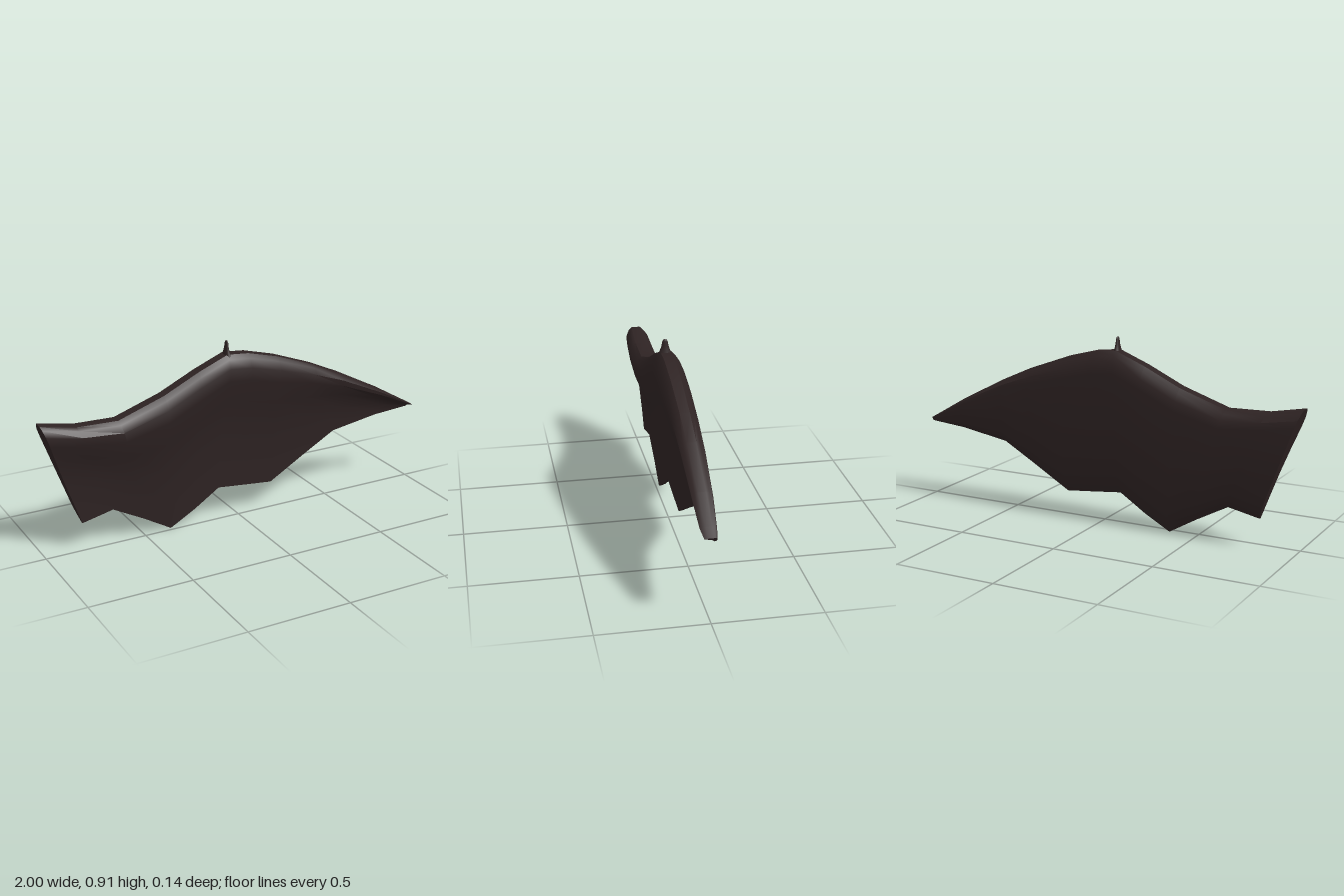
import * as THREE from 'three';
import { toCreasedNormals } from 'three/addons/utils/BufferGeometryUtils.js';

// Ribs from root to tip: top x, top y, bottom x, bottom y, front depth, back depth
const RIBS = [
  [-1, 0.66, -0.81, 0.135, 0.052, 0.068],
  [-0.83, 0.627, -0.655, 0.168, 0.063, 0.074],
  [-0.63, 0.622, -0.5, 0.085, 0.068, 0.074],
  [-0.4, 0.7, -0.36, 0.003, 0.066, 0.074],
  [-0.22, 0.785, -0.23, 0.075, 0.065, 0.074],
  [-0.07, 0.845, -0.1, 0.16, 0.063, 0.074],
  [0.04, 0.835, 0.04, 0.145, 0.061, 0.074],
  [0.2, 0.793, 0.19, 0.13, 0.059, 0.074],
  [0.4, 0.72, 0.38, 0.24, 0.056, 0.068],
  [0.56, 0.648, 0.55, 0.335, 0.054, 0.061],
  [0.8, 0.525, 0.8, 0.375, 0.05, 0.045],
  [0.95, 0.438, 0.95, 0.386, 0.044, 0.03],
  [1, 0.41, 0.99, 0.39, 0.034, 0.022],
];

// Rib outline: fraction down the rib, share of the depth (front, then back)
const FRONT = [[0, 0.4], [0.03, 0.72], [0.09, 1], [0.18, 0.95], [0.35, 0.42], [0.58, -0.03], [0.82, -0.18], [1, -0.25]];
const BACK = [[0, -0.35], [0.03, -0.62], [0.08, -0.92], [0.15, -1], [0.5, -1], [0.82, -0.97], [0.92, -0.8], [1, -0.4]];

function wingGeometry() {
  const outline = [...FRONT, ...BACK.slice().reverse()];
  const n = outline.length;
  const positions = [];
  const index = [];
  for (const [tx, ty, bx, by, front, back] of RIBS) {
    outline.forEach(([t, s], j) => {
      positions.push(tx + (bx - tx) * t, ty + (by - ty) * t, s * (j < FRONT.length ? front : back));
    });
  }
  // Skin between neighbouring ribs
  for (let i = 0; i < RIBS.length - 1; i++) {
    for (let j = 0; j < n; j++) {
      const k = (j + 1) % n;
      const a = i * n + j, d = i * n + k, b = a + n, c = d + n;
      index.push(a, d, c, a, c, b);
    }
  }
  // Closed root and tip
  const last = (RIBS.length - 1) * n;
  for (let j = 0; j < n / 2 - 1; j++) {
    const a = j, b = j + 1, c = n - 2 - j, d = n - 1 - j;
    index.push(a, c, b, a, d, c);
    index.push(last + a, last + b, last + c, last + a, last + c, last + d);
  }
  const geometry = new THREE.BufferGeometry();
  geometry.setAttribute('position', new THREE.Float32BufferAttribute(positions, 3));
  geometry.setIndex(index);
  return toCreasedNormals(geometry, 0.6);
}

export function createModel() {
  const group = new THREE.Group();
  group.name = 'batWing';
  const hide = new THREE.MeshStandardMaterial({ color: 0x2e2323 });
  hide.name = 'dark brown hide';

  const wing = new THREE.Mesh(wingGeometry(), hide);
  wing.name = 'wingMembrane';
  group.add(wing);

  // Small claw on the wing joint, flattened sideways
  const profile = [[0.034, 0], [0.025, 0.02], [0.017, 0.042], [0.013, 0.065], [0.008, 0.074], [0, 0.077]];
  const claw = new THREE.Mesh(
    new THREE.LatheGeometry(profile.map(([r, y]) => new THREE.Vector2(r, y)), 10), hide);
  claw.name = 'thumbClaw';
  claw.scale.x = 0.5;
  claw.position.set(-0.065, 0.832, 0.004);
  group.add(claw);

  return group;
}
